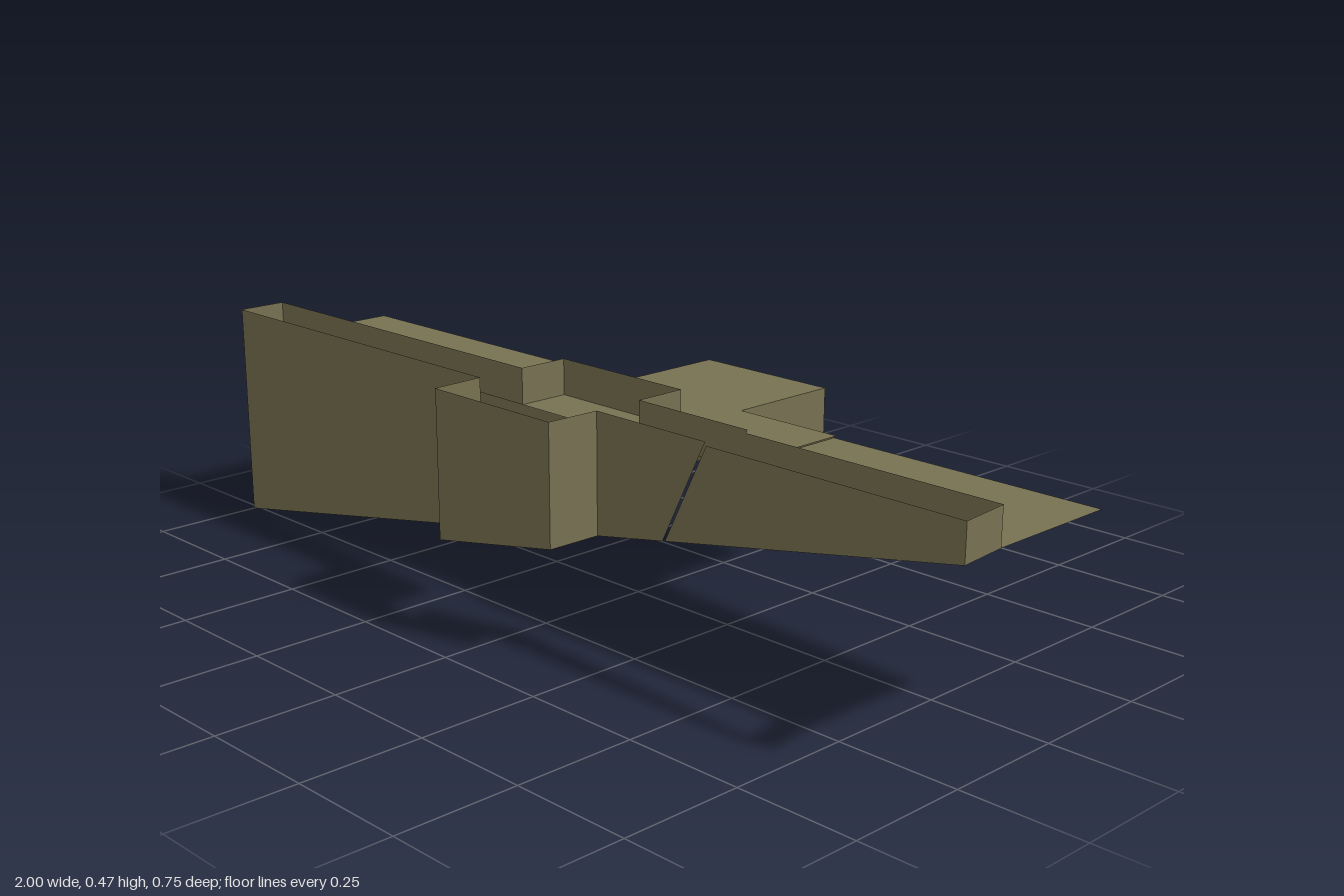
import * as THREE from 'three';

// Main levels and depths of the hollow shell
const DECK = 0.39, DECK_LOW = 0.385, TOP = 0.465, TOP_LOW = 0.458;
const BACK = -0.126, INNER = 0.155, FRONT = 0.262;
const BAY_L = -0.17, BAY_R = 0.163;

// Sloping lower edge of all outer walls
const bottom = (x) => 0.1925 + 0.1925 * x;
// Slanted joint between the long body and the tapered tip
const joint = (y) => 0.335 + 0.5 * (y - bottom(0.335));

export function createModel() {
  const model = new THREE.Group();
  const olive = new THREE.MeshStandardMaterial({ color: 0x787252, side: THREE.DoubleSide, flatShading: true });
  olive.name = 'olive';

  // Flat convex plate from its corners
  function plate(name, corners) {
    const pos = [];
    for (let i = 1; i < corners.length - 1; i++) pos.push(...corners[0], ...corners[i], ...corners[i + 1]);
    const geo = new THREE.BufferGeometry();
    geo.setAttribute('position', new THREE.Float32BufferAttribute(pos, 3));
    geo.computeVertexNormals();
    const mesh = new THREE.Mesh(geo, olive);
    mesh.name = name;
    model.add(mesh);
  }

  // Upright strip between two plan points [x, z]
  function wall(name, [x0, z0], [x1, z1], top, low = bottom) {
    plate(name, [[x0, low(x0), z0], [x1, low(x1), z1], [x1, top, z1], [x0, top, z0]]);
  }

  // Wall lying in a plane of constant z, from [x, y] corners
  const panel = (name, z, corners) => plate(name, corners.map(([x, y]) => [x, y, z]));

  // Level plate
  const level = (name, y, x0, x1, z0, z1) =>
    plate(name, [[x0, y, z1], [x1, y, z1], [x1, y, z0], [x0, y, z0]]);

  const onDeck = () => DECK;
  const onTip = () => DECK_LOW;
  const gap = 0.006;
  const jb = 0.335;

  // Deck, in two lengths, and the rear block's roof
  level('bodyDeck', DECK, -1, joint(DECK) + 0.004, BACK, INNER);
  level('tipDeck', DECK_LOW, joint(DECK_LOW), 0.99, BACK, INNER);
  level('rearBlockRoof', DECK, BAY_L, 0.16, -0.375, BACK);

  // Left-open end wall with its raised front portion
  wall('endWall', [-1, BACK], [-1, INNER], DECK);
  wall('endWallRaised', [-1, INNER], [-1, FRONT], TOP);

  // Front wall, stepping out around the bay
  const frontPath = [[-1, FRONT], [BAY_L, FRONT], [BAY_L + 0.004, 0.375], [BAY_R - 0.004, 0.375], [BAY_R, FRONT]];
  for (let i = 0; i < frontPath.length - 1; i++) wall('frontWall', frontPath[i], frontPath[i + 1], TOP);
  panel('frontWall', FRONT, [[BAY_R, bottom(BAY_R)], [jb, bottom(jb)], [joint(TOP), TOP], [BAY_R, TOP]]);
  panel('tipFrontWall', FRONT, [[jb + gap, bottom(jb + gap)], [1, bottom(1)], [1, TOP_LOW], [joint(TOP_LOW) + gap, TOP_LOW]]);

  // Parapet between deck and front opening, stepping in around the bay
  const innerPath = [[-1, INNER], [BAY_L, INNER], [BAY_L, 0.045], [BAY_R, 0.045], [BAY_R, INNER]];
  for (let i = 0; i < innerPath.length - 1; i++) wall('parapet', innerPath[i], innerPath[i + 1], TOP, onDeck);
  panel('parapet', INNER, [[BAY_R, DECK], [joint(DECK), DECK], [joint(TOP), TOP], [BAY_R, TOP]]);
  panel('tipParapet', INNER, [[joint(DECK_LOW), DECK_LOW], [0.99, DECK_LOW], [0.99, TOP_LOW], [joint(TOP_LOW), TOP_LOW]]);
  wall('tipParapetEnd', [0.99, INNER], [1, FRONT], TOP_LOW, onTip);

  // Back wall on either side of the rear block
  panel('backWall', BACK, [[-1, bottom(-1)], [-0.36, bottom(-0.36)], [BAY_L, DECK], [-1, DECK]]);
  panel('backWall', BACK, [[0.16, bottom(0.16)], [jb, bottom(jb)], [joint(DECK), DECK], [0.16, DECK]]);
  panel('tipBackWall', BACK, [[jb + gap, bottom(jb + gap)], [0.99, bottom(0.99)], [0.99, DECK_LOW], [joint(DECK_LOW) + gap, DECK_LOW]]);

  // Rear block: side, back and sloping side, open below
  wall('rearBlockSide', [0.16, BACK], [0.16, -0.375], DECK);
  panel('rearBlockBack', -0.375, [[0.16, bottom(0.16)], [-0.36, bottom(-0.36)], [BAY_L, DECK], [0.16, DECK]]);
  plate('rearBlockSlope', [
    [-0.36, bottom(-0.36), -0.375], [-0.36, bottom(-0.36), BACK],
    [BAY_L, DECK, BACK], [BAY_L, DECK, -0.375],
  ]);

  return model;
}
